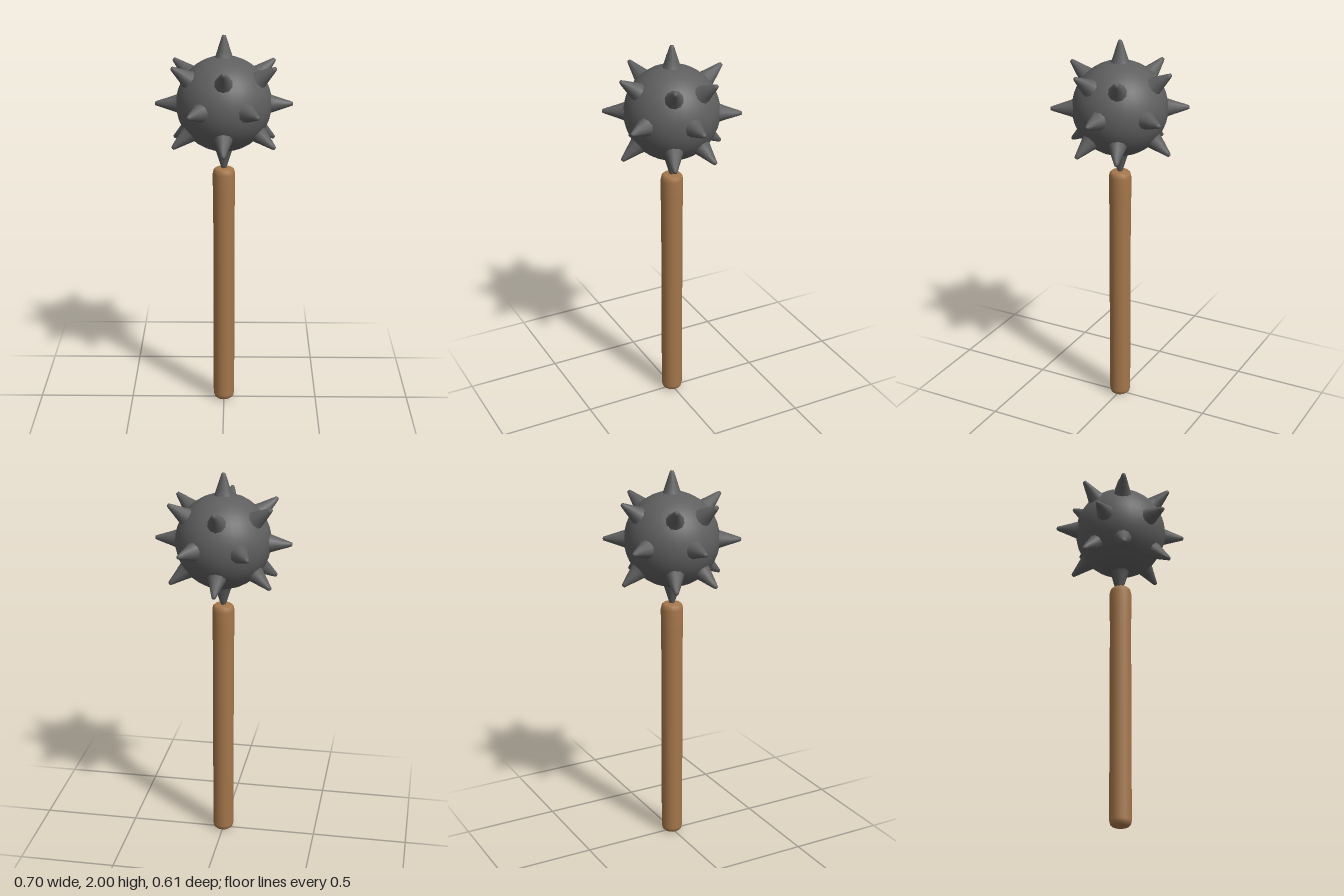
import * as THREE from 'three';

const V = (x, y) => new THREE.Vector2(x, y);

export function createModel() {
  const steel = new THREE.MeshStandardMaterial({ color: 0x5f5f5f });
  steel.name = 'dark steel';
  const wood = new THREE.MeshStandardMaterial({ color: 0xa5774b });
  wood.name = 'brown wood';

  const mace = new THREE.Group();
  mace.name = 'mace';

  // Handle: rounded shaft, slightly thicker at the top, dimpled underneath
  const shaft = [
    V(0, 0.012), V(0.02, 0.008), V(0.027, 0), V(0.041, 0.002), V(0.051, 0.011), V(0.056, 0.03),
    V(0.056, 1.1), V(0.058, 1.17), V(0.058, 1.28), V(0.053, 1.302), V(0.043, 1.311), V(0, 1.312),
  ];
  const handle = new THREE.Mesh(new THREE.LatheGeometry(shaft, 16), wood);
  handle.name = 'handle';
  mace.add(handle);

  // Head: ball with spikes radiating from its centre
  const head = new THREE.Group();
  head.name = 'head';
  head.position.y = 1.65;
  mace.add(head);

  const ball = new THREE.Mesh(new THREE.SphereGeometry(0.243, 32, 20), steel);
  ball.name = 'ball';
  head.add(ball);

  // Spike profile: flared root, straight taper, blunt tip
  const spikeGeometry = new THREE.LatheGeometry([
    V(0.056, 0.222), V(0.045, 0.241), V(0.035, 0.27), V(0.014, 0.335), V(0.009, 0.348), V(0, 0.35),
  ], 10);
  const up = new THREE.Vector3(0, 1, 0);
  const addSpike = (x, y, z) => {
    const spike = new THREE.Mesh(spikeGeometry, steel);
    spike.name = 'spike';
    spike.quaternion.setFromUnitVectors(up, new THREE.Vector3(x, y, z).normalize());
    head.add(spike);
  };

  // Poles, a middle ring of six, and a staggered ring of six above and below
  for (const s of [1, -1]) {
    addSpike(0, s, 0);
    addSpike(s, 0, 0);
    for (const t of [1, -1]) {
      addSpike(s * 0.172, 0, t * 0.305);
      addSpike(0, s * 0.21, t * 0.28);
      for (const u of [1, -1]) addSpike(u * 0.257, s * 0.205, t * 0.113);
    }
  }
  return mace;
}
